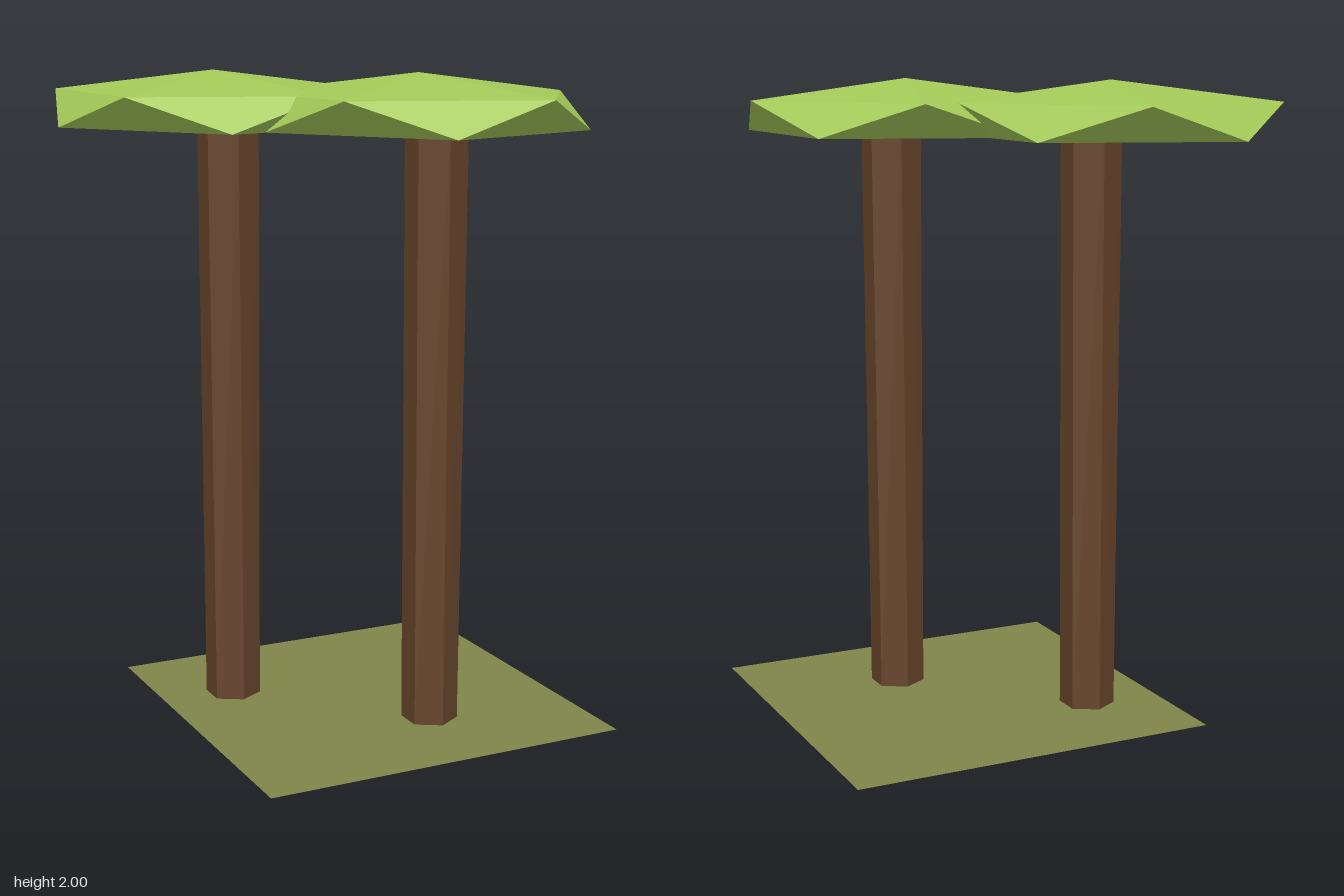
import * as THREE from 'three';
import { ConvexGeometry } from 'three/addons/geometries/ConvexGeometry.js';

const mat = (color, side = THREE.FrontSide) =>
  new THREE.MeshStandardMaterial({ color, side, flatShading: true });

// Five points on an ellipse at height y
function ring(y, startDeg) {
  return Array.from({ length: 5 }, (_, i) => {
    const a = THREE.MathUtils.degToRad(startDeg + i * 72);
    return new THREE.Vector3(0.504 * Math.cos(a), y, 0.541 * Math.sin(a));
  });
}

// Faceted crown: peak, upper ring, staggered lower ring, flat underside
function crownGeometry() {
  return new ConvexGeometry([
    new THREE.Vector3(0, 2, 0), ...ring(1.937, 0), ...ring(1.835, 36),
  ]);
}

// Six-sided trunk, slightly broader across at the top than at the foot
function trunkGeometry() {
  const h = 1.86;
  const g = new THREE.CylinderGeometry(0.0875, 0.0875, h, 6).translate(0, h / 2, 0);
  const p = g.attributes.position;
  for (let i = 0; i < p.count; i++) {
    const t = p.getY(i) / h;
    p.setX(i, p.getX(i) * (1 + 0.12 * t));
    p.setZ(i, p.getZ(i) * (1 - 0.05 * t));
  }
  g.computeVertexNormals();
  return g;
}

export function createModel() {
  const model = new THREE.Group();
  model.name = 'treePair';
  const leaf = mat(0xa3c957), bark = mat(0x65432a);
  const crown = crownGeometry(), trunk = trunkGeometry();

  // Two trees placed diagonally, each trunk set forward of its crown's middle
  for (const [side, s] of [['left', 1], ['right', -1]]) {
    const tree = new THREE.Group();
    tree.name = side + 'Tree';
    tree.position.set(0.235 * s, 0, 0.235 * s);
    const c = new THREE.Mesh(crown, leaf);
    c.name = side + 'Crown';
    const t = new THREE.Mesh(trunk, bark);
    t.name = side + 'Trunk';
    t.position.z = 0.118;
    tree.add(c, t);
    model.add(tree);
  }

  // Flat square of ground
  const ground = new THREE.Mesh(
    new THREE.PlaneGeometry(1.175, 1.175).rotateX(-Math.PI / 2),
    mat(0x7f8549, THREE.DoubleSide));
  ground.name = 'ground';
  ground.position.set(0.117, 0, 0.115);
  model.add(ground);
  return model;
}
